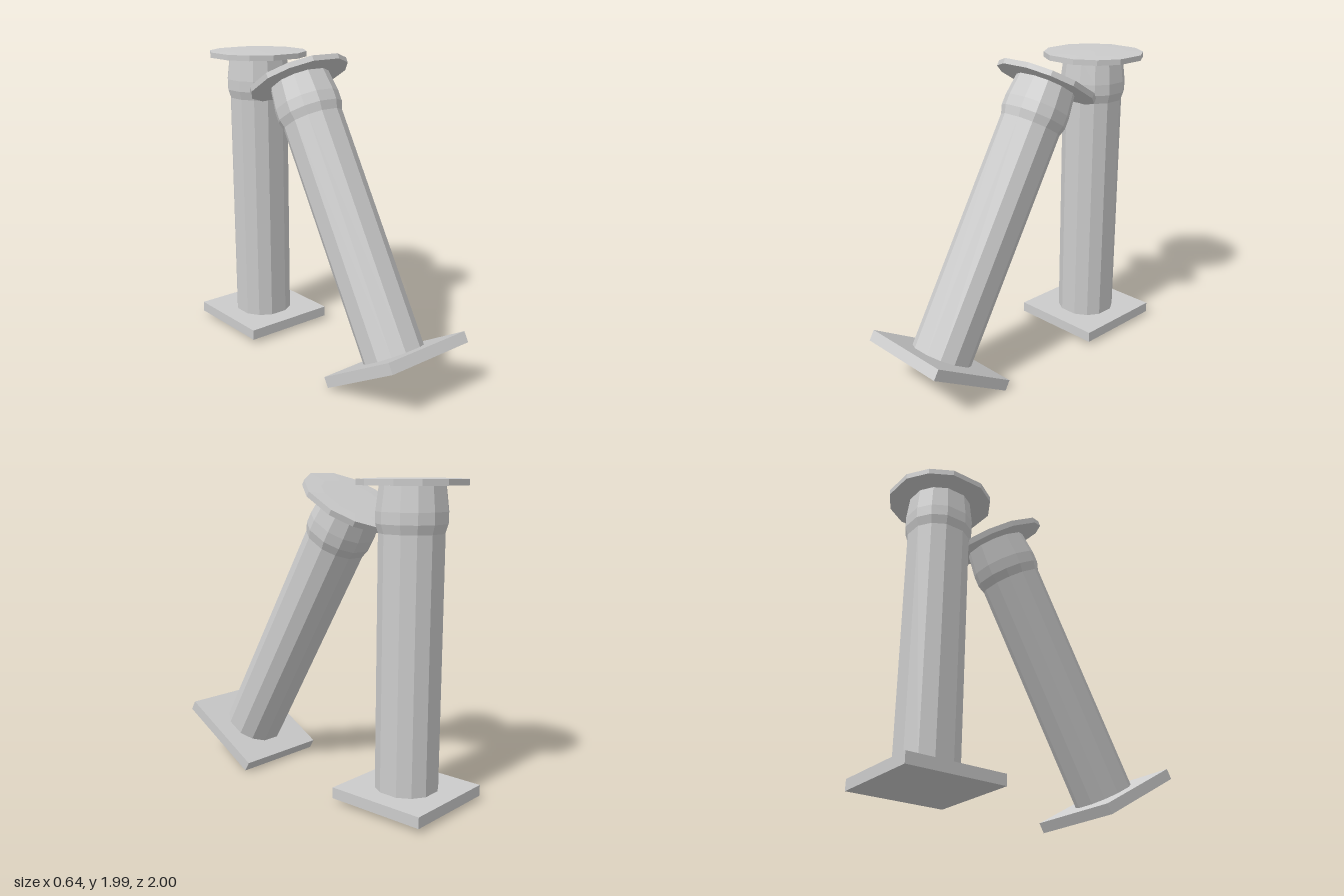
import * as THREE from 'three';

const material = new THREE.MeshStandardMaterial({ color: 0xcccccc, flatShading: true });

// Twelve-sided turned solid, its sides slightly longer on the four main axes
function turned(name, profile) {
  const points = profile.map(([r, y]) => new THREE.Vector2(r, y));
  const geometry = new THREE.LatheGeometry(points, 12, Math.PI / 12);
  const pos = geometry.attributes.position;
  for (let i = 0; i < pos.count; i++) {
    const x = pos.getX(i), z = pos.getZ(i);
    const r = Math.hypot(x, z), a = Math.atan2(x, z);
    const b = a + 0.06 * Math.sin(4 * a);
    pos.setX(i, r * Math.sin(b));
    pos.setZ(i, r * Math.cos(b));
  }
  geometry.computeVertexNormals();
  const mesh = new THREE.Mesh(geometry, material);
  mesh.name = name;
  return mesh;
}

// One column standing on its own origin
function column(name) {
  const group = new THREE.Group();
  group.name = name;

  const plinth = new THREE.Mesh(new THREE.BoxGeometry(0.64, 0.07, 0.645), material);
  plinth.name = 'plinth';
  plinth.position.y = 0.035;

  // Shaft with a swollen collar below the cap
  const shaft = turned('shaft', [
    [0, 0.06], [0.196, 0.06], [0.197, 1.62], [0.214, 1.675],
    [0.214, 1.745], [0.196, 1.89], [0, 1.89],
  ]);

  // Wide flat cap with a very shallow dome
  const cap = turned('cap', [
    [0, 1.888], [0.329, 1.893], [0.329, 1.928], [0.22, 1.932], [0, 1.934],
  ]);

  group.add(plinth, shaft, cap);
  return group;
}

export function createModel() {
  const model = new THREE.Group();
  model.name = 'columns';

  const upright = column('uprightColumn');
  upright.position.set(0, 0.03, -0.677);

  // Second column leans back against the first
  const leaning = column('leaningColumn');
  leaning.position.set(0, 0.163, 0.721);
  leaning.rotation.x = -Math.PI / 6;

  model.add(upright, leaning);
  return model;
}
